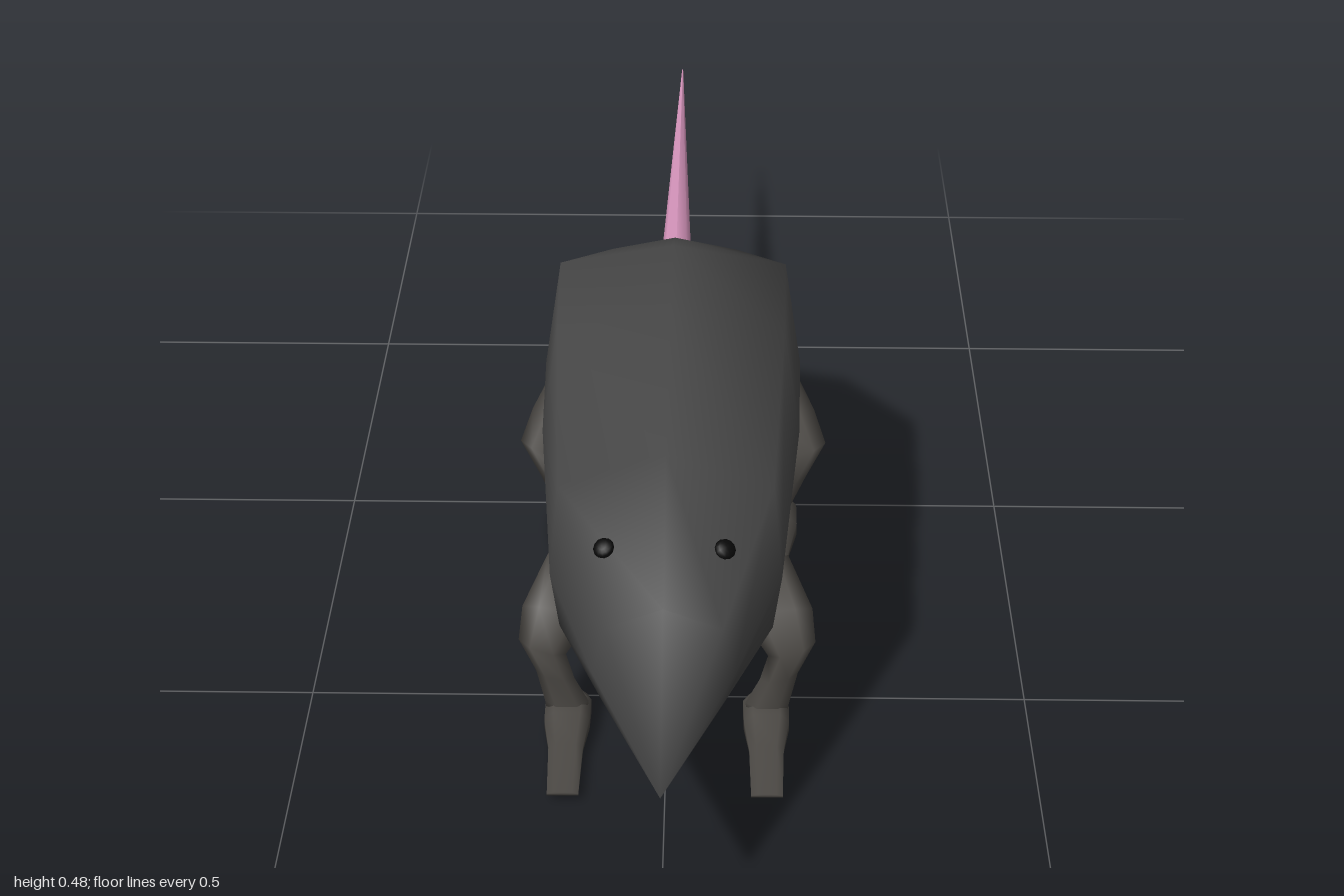
import * as THREE from 'three';

const fur = new THREE.MeshStandardMaterial({ color: 0x484848 });
const skin = new THREE.MeshStandardMaterial({ color: 0x4a4743 });
const pink = new THREE.MeshStandardMaterial({ color: 0xd594bb });
const black = new THREE.MeshStandardMaterial({ color: 0x080808 });

// Smooth skin over rings of points, closed by one point at each end
function loft(rings, start, end) {
  const n = rings[0].length, last = (rings.length - 1) * n, index = [];
  const points = [...rings.flat(), start, end];
  const s = points.length - 2, e = s + 1;
  for (let i = 0; i < rings.length - 1; i++) {
    for (let j = 0; j < n; j++) {
      const a = i * n + j, b = i * n + (j + 1) % n;
      index.push(a, b, a + n, b, b + n, a + n);
    }
  }
  for (let j = 0; j < n; j++) {
    const k = (j + 1) % n;
    index.push(s, k, j, e, last + j, last + k);
  }
  const geometry = new THREE.BufferGeometry();
  geometry.setAttribute('position', new THREE.Float32BufferAttribute(points.flat(), 3));
  geometry.setIndex(index);
  geometry.computeVertexNormals();
  return geometry;
}

function add(parent, name, geometry, material) {
  const mesh = new THREE.Mesh(geometry, material);
  mesh.name = name;
  parent.add(mesh);
  return mesh;
}

// Eight-sided body section: top, shoulder, flank, belly edge, bottom
function bodyRing([z, top, xs, ys, xf, yf, xb, yb, bottom]) {
  return [
    [0, top, z], [-xs, ys, z], [-xf, yf, z], [-xb, yb, z],
    [0, bottom, z], [xb, yb, z], [xf, yf, z], [xs, ys, z],
  ];
}

// One leg with its foot; d holds the joints, s is +1 for left and -1 for right
function makeLeg(name, d, s) {
  const leg = new THREE.Group();
  leg.name = name;
  const side = (ring) => {
    const r = ring.map(([x, y, z]) => [x * s, y, z]);
    return s < 0 ? r.reverse() : r;
  };
  // Limb: tilted six-sided rings from hip through knee to ankle
  const limb = d.limb.map(([x, y, z, rx, rz, tiltX, tiltZ]) => side(
    Array.from({ length: 6 }, (_, i) => {
      const a = i * Math.PI / 3, cx = Math.cos(a), cz = Math.sin(a);
      return [x + cx * rx, y + cx * tiltX + cz * tiltZ, z + cz * rz];
    })));
  const centre = ([x, y, z]) => [x * s, y, z];
  add(leg, name + 'Limb', loft(limb, centre(d.limb[0]), centre(d.limb.at(-1))), skin);
  // Foot: flat sole, raised heel, tapering to a thin toe
  const foot = d.foot.map(([z, x0, x1, top]) => {
    const m = (x1 - x0) * 0.2, y = d.ground;
    return side([[x1, y, z], [x1, y + top * 0.6, z], [x1 - m, y + top, z],
      [x0 + m, y + top, z], [x0, y + top * 0.6, z], [x0, y, z]]);
  });
  const mid = ([z, x0, x1, top]) => [s * (x0 + x1) / 2, d.ground + top / 2, z];
  add(leg, name + 'Foot', loft(foot, mid(d.foot[0]), mid(d.foot.at(-1))), skin);
  return leg;
}

export function createModel() {
  const model = new THREE.Group();
  model.name = 'rodent';

  // Body and pointed head, from rump to nose
  const sections = [
    [-0.205, 0.325, 0.032, 0.318, 0.042, 0.295, 0.03, 0.272, 0.265],
    [-0.14, 0.395, 0.095, 0.375, 0.112, 0.285, 0.09, 0.185, 0.17],
    [0.05, 0.48, 0.165, 0.45, 0.19, 0.283, 0.15, 0.12, 0.107],
    [0.25, 0.48, 0.16, 0.448, 0.184, 0.283, 0.148, 0.14, 0.12],
    [0.62, 0.475, 0.14, 0.425, 0.153, 0.285, 0.142, 0.205, 0.17],
    [0.8, 0.358, 0.075, 0.328, 0.09, 0.258, 0.08, 0.22, 0.213],
  ];
  add(model, 'body', loft(sections.map(bodyRing), [0, 0.295, -0.21], [0, 0.22, 1]), fur);

  // Long tapering tail
  const tail = add(model, 'tail', new THREE.CylinderGeometry(0.001, 0.026, 0.81, 8), pink);
  tail.rotation.x = -Math.PI / 2;
  tail.position.set(0, 0.297, -0.595);

  // Limb rows: x, y, z, half width, half depth, tilt along x, tilt along z
  const front = {
    ground: 0.01,
    limb: [
      [0.135, 0.2, 0.47, 0.03, 0.018, 0.02, 0.018],
      [0.15, 0.165, 0.53, 0.048, 0.022, 0.008, 0.018],
      [0.17, 0.128, 0.562, 0.032, 0.02, 0.012, 0.004],
      [0.153, 0.085, 0.566, 0.026, 0.014, 0.006, 0],
      [0.138, 0.04, 0.566, 0.03, 0.016, 0, 0],
      [0.138, 0.022, 0.566, 0.028, 0.02, 0, 0],
    ],
    foot: [
      [0.527, 0.112, 0.162, 0.022], [0.55, 0.105, 0.168, 0.034],
      [0.59, 0.106, 0.168, 0.028], [0.64, 0.113, 0.16, 0.012], [0.735, 0.115, 0.157, 0.005],
    ],
  };
  const rear = {
    ground: 0,
    limb: [
      [0.145, 0.2, -0.085, 0.03, 0.018, 0.02, 0.018],
      [0.165, 0.17, 0.01, 0.05, 0.026, 0.008, 0.022],
      [0.196, 0.138, 0.06, 0.035, 0.022, 0.012, 0.004],
      [0.172, 0.085, 0.064, 0.03, 0.016, 0.006, 0],
      [0.147, 0.04, 0.062, 0.034, 0.018, 0, 0],
      [0.147, 0.018, 0.062, 0.032, 0.022, 0, 0],
    ],
    foot: [
      [0.012, 0.11, 0.182, 0.028], [0.04, 0.1, 0.19, 0.042],
      [0.085, 0.102, 0.19, 0.034], [0.15, 0.114, 0.176, 0.016], [0.288, 0.116, 0.172, 0.006],
    ],
  };

  for (const s of [1, -1]) {
    const label = s > 0 ? 'Left' : 'Right';
    model.add(makeLeg('front' + label + 'Leg', front, s));
    model.add(makeLeg('rear' + label + 'Leg', rear, s));
    // Small flat eyes set on the slope of the head
    const eye = add(model, 'eye' + label, new THREE.SphereGeometry(0.014, 12, 8), black);
    eye.scale.set(1, 0.55, 1);
    eye.position.set(s * 0.077, 0.394, 0.718);
    eye.rotation.set(0.55, 0, -s * 0.3);
  }
  return model;
}
